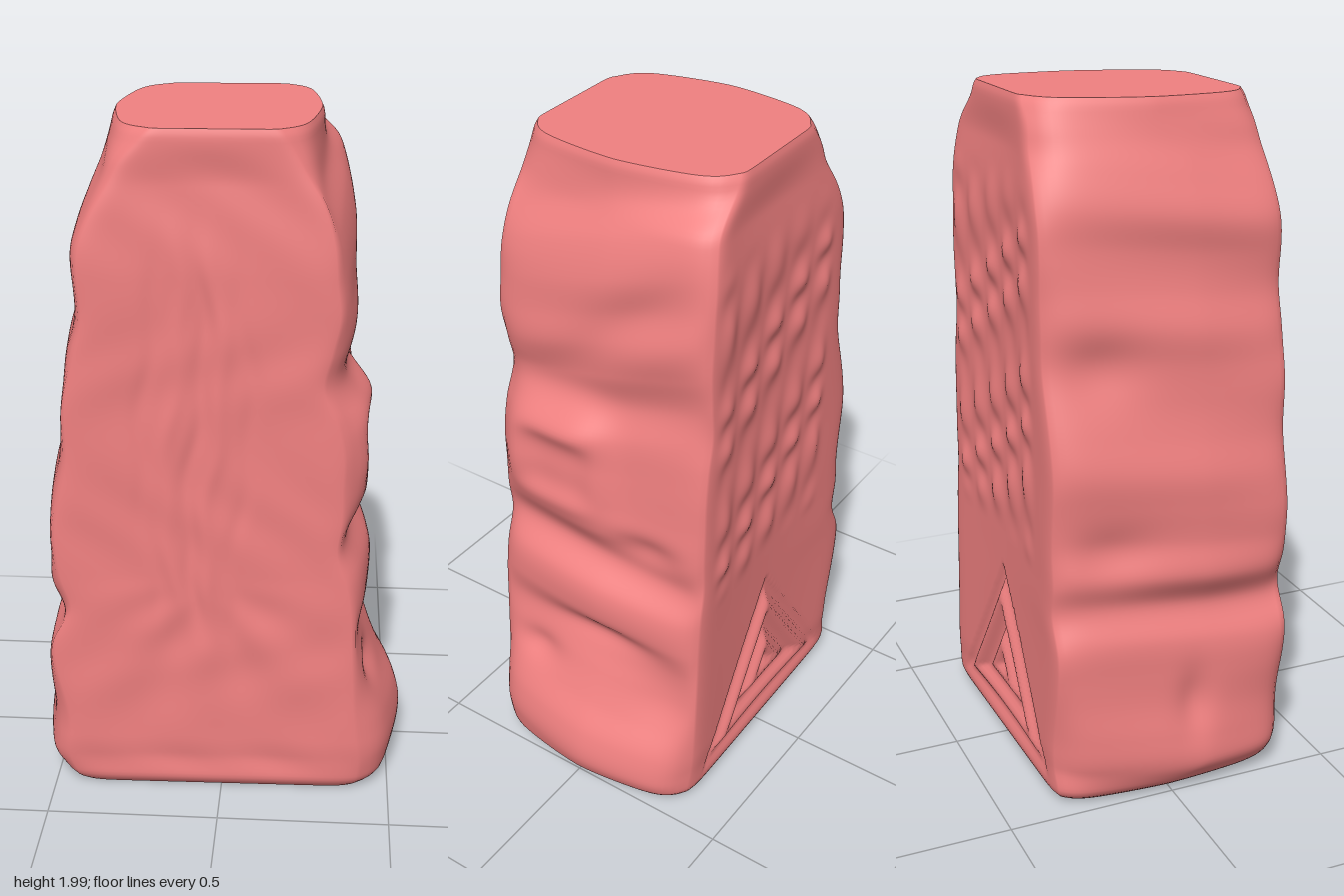
import * as THREE from 'three';

// Half-widths every 0.1 up the stone: bulging flanks and the inset face edges
const FLANK_R = [.505, .54, .525, .475, .435, .405, .43, .425, .365, .40, .385, .375, .365, .335, .36, .385, .37, .36, .33, .275, .265];
const FLANK_L = [.485, .535, .54, .53, .52, .505, .47, .52, .50, .495, .495, .475, .455, .44, .44, .42, .41, .41, .375, .34, .315];
const EDGE_R = [.41, .42, .41, .40, .395, .39, .385, .37, .34, .35, .35, .35, .33, .29, .31, .33, .32, .31, .28, .22, .17];
const EDGE_L = [.43, .455, .465, .475, .48, .48, .45, .475, .47, .465, .46, .445, .43, .415, .41, .39, .38, .37, .34, .28, .20];
const FACE = 80, SIDE = 40, ROWS = 170;

const { smoothstep, lerp, clamp } = THREE.MathUtils;
const gauss = (a, b) => Math.exp(-a * a - b * b);

// Smooth lookup in a profile table
function sample(table, y) {
  const t = clamp(y * 10, 0, 20), i = Math.min(19, Math.floor(t)), f = t - i;
  const at = (k) => table[clamp(k, 0, 20)];
  const p0 = at(i - 1), p1 = at(i), p2 = at(i + 1), p3 = at(i + 2);
  return p1 + 0.5 * f * (p2 - p0 + f * (2 * p0 - 5 * p1 + 4 * p2 - p3 + f * (3 * (p1 - p2) + p3 - p0)));
}

// Front carving: a wavy trunk with roots spreading at its foot
function frontRelief(x, y) {
  let d = 0;
  const body = smoothstep(y, 0.45, 0.7) * (1 - smoothstep(y, 1.45, 1.8));
  for (const [off, depth] of [[-0.07, -0.009], [-0.02, 0.006], [-0.13, 0.005], [0.06, -0.004], [-0.2, -0.004]]) {
    const cx = off + 0.025 * Math.sin(y * 6 + off * 9) + 0.008 * Math.sin(y * 19 + off * 30);
    d += body * depth * gauss((x - cx) / 0.025, 0);
  }
  const rx = x + 0.05, ry = 0.72 - y;
  const reach = Math.hypot(rx, ry);
  if (ry > 0) {
    const spread = 0.006 * Math.cos(Math.atan2(rx, ry) * 9) * (ry / reach);
    d += spread * smoothstep(reach, 0.08, 0.25) * (1 - smoothstep(reach, 0.35, 0.6));
  }
  return d + 0.003 * Math.sin(x * 17 + 3 * Math.sin(y * 7)) * Math.sin(y * 12 + x * 5);
}

// Back carving: nested triangles below, columns of worn marks above
function backRelief(x, y) {
  const d = Math.min(y - 0.06, ((0.6 - y) * 0.37 - Math.abs(x + 0.02) * 0.54) / 0.655);
  const r = d > 0 ? -0.011 * Math.sin(d * Math.PI * 2 / 0.09) : 0;
  const zone = smoothstep(y, 0.68, 0.82) * (1 - smoothstep(y, 1.6, 1.82)) * (1 - smoothstep(Math.abs(x), 0.25, 0.33));
  const k = Math.round(x / 0.13), offset = x / 0.13 - k;
  const column = 0.5 + 0.5 * Math.cos(offset * Math.PI * 2);
  const marks = Math.sin(y * 34 + k * 2.3 + 1.2 * Math.sin(y * 13 + k));
  return r + zone * column * (0.005 + 0.009 * marks);
}

// Right flank: raised block with a sunken pocket, overhangs and hollows
function rightRelief(z, y) {
  const block = gauss(((y - 1.12) / 0.17) ** 2, ((z - 0.16) / 0.19) ** 2);
  return 0.07 * block
    - 0.045 * gauss(((y - 1.08) / 0.1) ** 2, ((z - 0.13) / 0.13) ** 2)
    - 0.03 * gauss((y - 0.88) / 0.05, (z + 0.17) / 0.11)
    - 0.02 * gauss((y - 0.53) / 0.04, (z + 0.04) / 0.16)
    - 0.025 * gauss((y - 0.38) / 0.05, (z - 0.2) / 0.08)
    - 0.025 * gauss((y - 0.36) / 0.1, (z + 0.28) / 0.12)
    - 0.03 * gauss((y - 1.51 + z * 0.65) / 0.1, (z + 0.08) / 0.22);
}

// Left flank: shallow chipped bands
function leftRelief(z, y) {
  return 0.006 * Math.sin(y * 15 + z * 5)
    - 0.02 * gauss((y - 1.3) / 0.09, (z + 0.2) / 0.12)
    - 0.025 * gauss((y - 0.77) / 0.08, (z + 0.2) / 0.13)
    - 0.02 * gauss((y - 0.3) / 0.1, (z - 0.05) / 0.05);
}

// One closed cross-section, counter-clockwise seen from above
function section(y) {
  const points = [];
  // rounded lower and upper rims
  const low = Math.max(0, 1 - y / 0.05), high = Math.max(0, 1 - (2 - y) / 0.025);
  const rim = 0.03 * low * low + 0.006 * high * high;
  const foot = 1 - smoothstep(y, 0, 0.18);
  const zF = 0.36 - 0.028 * smoothstep(y, 1.6, 2) - 0.015 * foot - rim;
  const zB = 0.36 - 0.025 * smoothstep(y, 1.7, 2) - 0.01 * foot - rim;
  const fade = smoothstep(y, 0.03, 0.12) * (1 - smoothstep(y, 1.85, 1.97));
  // lumpy vertical corners
  const eR = sample(EDGE_R, y) - rim, eL = sample(EDGE_L, y) - rim;
  const eRBack = lerp(eR, 0.4 - 0.05 * y, 0.6 * fade);
  const eLFront = eL - 0.012 * fade * Math.cos((y - 0.65) * Math.PI * 5);
  const eLBack = eL - fade * (0.024 + 0.015 * Math.cos((y - 0.76) * Math.PI * 2 / 0.58));
  const add = (x, z) => points.push([x, y * (1 - 0.004 * (1 + z / 0.36)), z - 0.02 * x]);

  const face = (x, s, depth, relief) => {
    const inner = fade * (1 - Math.abs(s) ** 8);
    return depth - 0.016 * (1 - s * s) * fade + relief(x, y) * inner - 0.012 * Math.abs(s) ** 14;
  };
  // flank bulging most at s = peak
  const flank = (s, table, edge, relief, tilt, peak) => {
    const z = s * 0.35, u = Math.abs((s - peak * fade) / (1 - Math.sign(s - peak * fade) * peak * fade));
    const bulge = 1 - 0.5 * u ** 1.5 - 0.5 * u ** 10;
    const yy = clamp(y + tilt * z * fade, 0, 2);
    return edge + (sample(table, yy) - rim - edge) * bulge + relief(z, y) * fade * (1 - s ** 8);
  };
  for (let i = 0; i < FACE; i++) {
    const x = lerp(-eLFront, eR, i / FACE);
    add(x, face(x, i / FACE * 2 - 1, zF, frontRelief));
  }
  const tiltR = lerp(-0.1, 0.25, smoothstep(y, 0.8, 1.4));
  for (let i = 0; i < SIDE; i++) {
    const s = 1 - i / SIDE * 2, edge = lerp(eR, eRBack, i / SIDE);
    add(flank(s, FLANK_R, edge, rightRelief, tiltR, -0.05), lerp(zF - 0.012, -zB + 0.012, i / SIDE));
  }
  for (let i = 0; i < FACE; i++) {
    const x = lerp(eRBack, -eLBack, i / FACE);
    add(x, -face(x, 1 - i / FACE * 2, zB, backRelief));
  }
  for (let i = 0; i < SIDE; i++) {
    const s = i / SIDE * 2 - 1, edge = lerp(eLBack, eLFront, i / SIDE);
    add(-flank(s, FLANK_L, edge, leftRelief, 0.1, 0.25), lerp(-zB + 0.012, zF - 0.012, i / SIDE));
  }
  return points;
}

function build(positions, index) {
  const g = new THREE.BufferGeometry();
  g.setAttribute('position', new THREE.Float32BufferAttribute(positions.flat(), 3));
  g.setIndex(index);
  g.computeVertexNormals();
  return g;
}

// Flat end closing a cross-section
function cap(ring, up) {
  const n = ring.length, index = [];
  const centre = [0, 1, 2].map((k) => ring.reduce((sum, p) => sum + p[k], 0) / n);
  for (let i = 0; i < n; i++) {
    const j = (i + 1) % n;
    index.push(n, up ? i : j, up ? j : i);
  }
  return build([...ring, centre], index);
}

export function createModel() {
  const group = new THREE.Group();
  group.name = 'carvedStone';
  const material = new THREE.MeshStandardMaterial({ color: 0xf08080 });
  const rings = [];
  for (let j = 0; j <= ROWS; j++) rings.push(section(0.006 + 1.994 * j / ROWS));

  // carved body
  const n = rings[0].length, index = [];
  for (let j = 0; j < ROWS; j++) {
    for (let i = 0; i < n; i++) {
      const k = (i + 1) % n, a = j * n + i, b = j * n + k;
      index.push(a, b, b + n, a, b + n, a + n);
    }
  }
  const parts = {
    carvedBody: build(rings.flat(), index),
    topFace: cap(rings[ROWS], true),
    baseFace: cap(rings[0], false),
  };
  for (const [name, geometry] of Object.entries(parts)) {
    const mesh = new THREE.Mesh(geometry, material);
    mesh.name = name;
    group.add(mesh);
  }
  return group;
}
